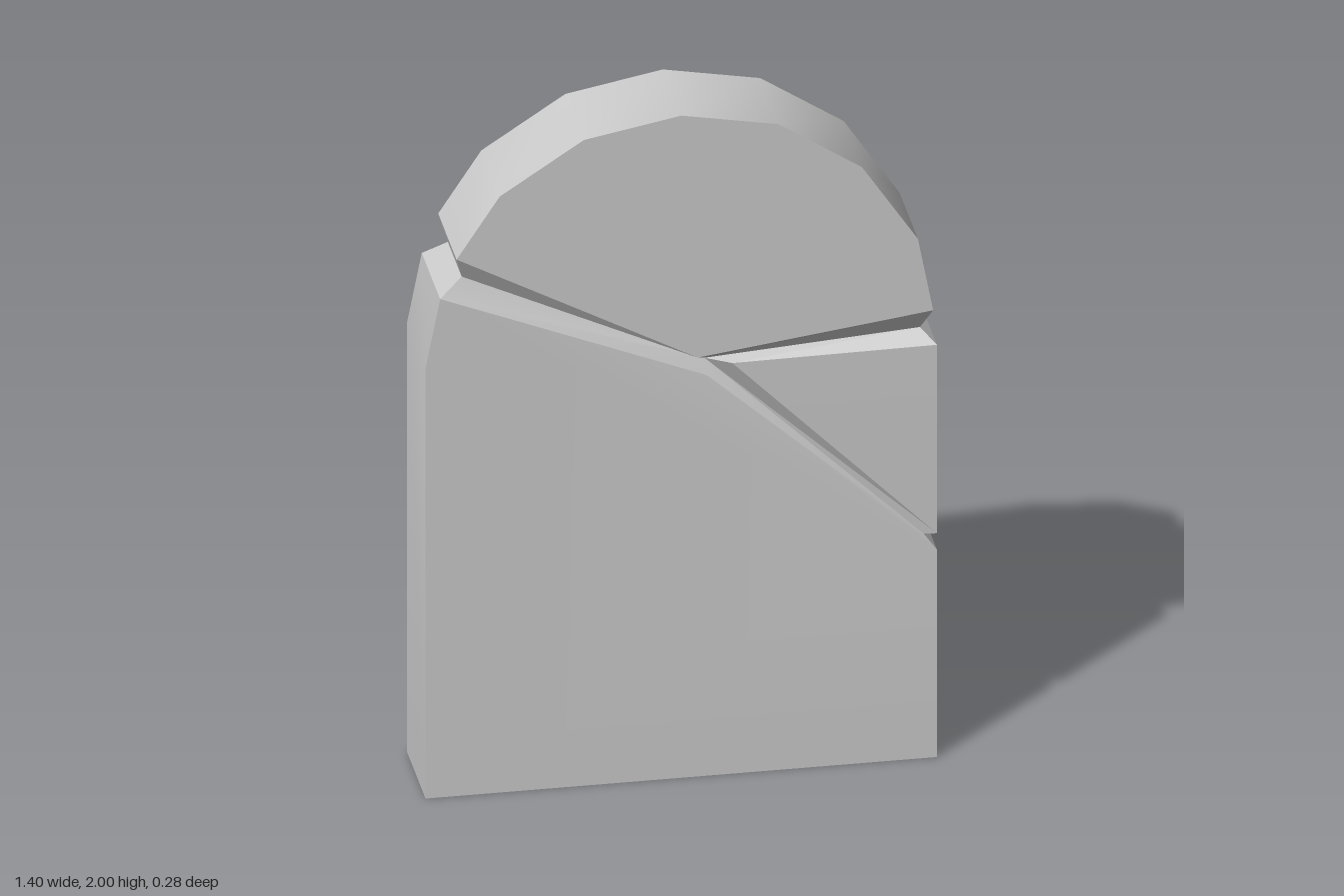
import * as THREE from 'three';
import { toCreasedNormals } from 'three/addons/utils/BufferGeometryUtils.js';

const HALF = 0.14; // half the slab thickness

// Seam points at the bottom of the cracks: x, y, front z, back z
const leftSeam = [-0.595, 1.55, 0.105, -0.105];
const middleSeam = [0.07, 1.245, 0.105, -0.105];
const upperRightSeam = [0.66, 1.285, 0.105, -0.105];
const lowerRightSeam = [0.665, 0.675, 0.135, -0.105];

// Each piece is a counter-clockwise outline; a third entry links a corner to its crack seam
const pieces = {
  slabBody: [
    [-0.7, 0], [0.7, 0], [0.7, 0.627, lowerRightSeam], [0.07, 1.21, middleSeam],
    [-0.66, 1.505, leftSeam], [-0.7, 1.3],
  ],
  brokenWedge: [
    [0.7, 0.676, lowerRightSeam], [0.7, 1.245, upperRightSeam], [0.14, 1.24, middleSeam],
  ],
  archedTop: [
    [0.69, 1.35, upperRightSeam], [0.648, 1.57], [0.495, 1.8], [0.267, 1.95], [0, 2],
    [-0.267, 1.95], [-0.497, 1.8], [-0.615, 1.62, leftSeam], [0.045, 1.265, middleSeam],
  ],
};

function createPiece(outline) {
  const positions = [];
  const tri = (a, b, c) => positions.push(...a, ...b, ...c);
  const quad = (a, b, c, d) => { tri(a, b, c); tri(a, c, d); };
  const corners = outline.map(([x, y, seam]) => ({
    front: [x, y, HALF],
    back: [x, y, -HALF],
    seam: seam && { front: [seam[0], seam[1], seam[2]], back: [seam[0], seam[1], seam[3]] },
  }));
  const wall = (p, q) => quad(p.back, q.back, q.front, p.front);

  // Front and back faces
  const flat = outline.map(([x, y]) => new THREE.Vector2(x, y));
  for (const [i, j, k] of THREE.ShapeUtils.triangulateShape(flat, [])) {
    tri(corners[i].front, corners[j].front, corners[k].front);
    tri(corners[k].back, corners[j].back, corners[i].back);
  }

  // Edges: outer walls, or bevels running into the cracks
  corners.forEach((p, i) => {
    const q = corners[(i + 1) % corners.length];
    const onGround = p.front[1] === 0 && q.front[1] === 0;
    // The wedge's outer edge joins two seams but is still a wall
    const outerSide = p.front[0] === 0.7 && q.front[0] === 0.7;
    if (p.seam && q.seam && !outerSide) {
      quad(p.seam.front, q.seam.front, q.front, p.front);
      quad(p.back, q.back, q.seam.back, p.seam.back);
    } else if (!onGround) { // the underside is open
      wall(p, q);
      if (p.seam) wall(p.seam, p); // notch in the outer side
      if (q.seam) wall(q, q.seam);
    }
  });

  const geometry = new THREE.BufferGeometry();
  geometry.setAttribute('position', new THREE.Float32BufferAttribute(positions, 3));
  return toCreasedNormals(geometry, 0.45);
}

export function createModel() {
  const group = new THREE.Group();
  group.name = 'crackedHeadstone';
  const material = new THREE.MeshStandardMaterial({ color: 0xcccccc, side: THREE.DoubleSide });
  for (const [name, outline] of Object.entries(pieces)) {
    const mesh = new THREE.Mesh(createPiece(outline), material);
    mesh.name = name;
    group.add(mesh);
  }
  return group;
}
